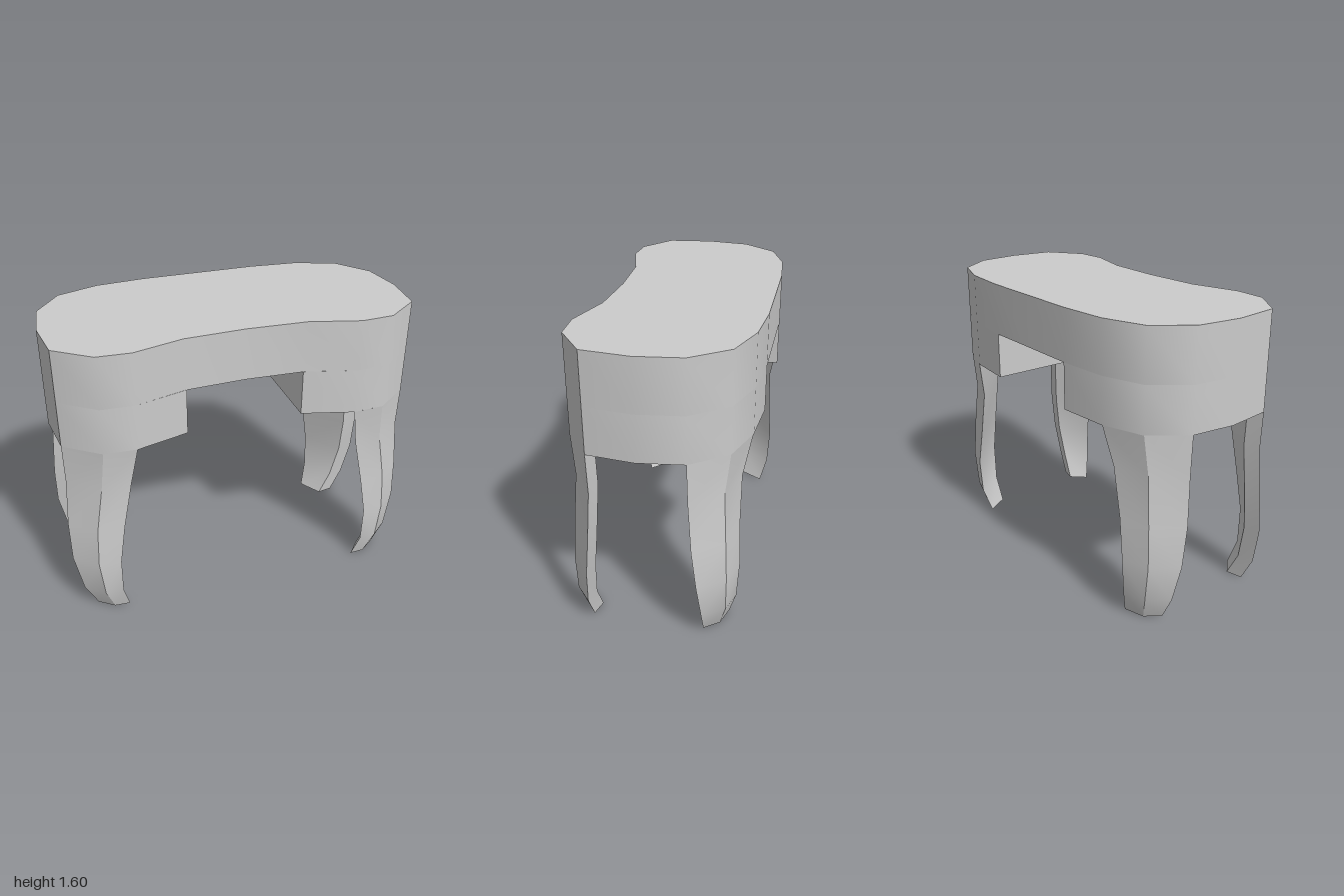
import * as THREE from 'three';
import { toCreasedNormals } from 'three/addons/utils/BufferGeometryUtils.js';

const CREASE = 0.66;
const LEVELS = [1.06, 0.84, 0.57, 0.35, 0.14, 0];

// half outline of the kidney-shaped seat, front centre to back centre (x, z)
const HALF = [[0, 0.375], [0.33, 0.39], [0.6, 0.465], [0.78, 0.455], [0.97, 0.315],
  [1, 0.06], [0.97, -0.18], [0.83, -0.37], [0.6, -0.45], [0.33, -0.473], [0, -0.473]];

// leg cross-sections per level: inner edge, outer corner, side edge (x, z each)
const FRONT_LEG = [
  [0.605, 0.465, 0.78, 0.455, 0.97, 0.315],
  [0.645, 0.437, 0.80, 0.43, 0.967, 0.31],
  [0.70, 0.447, 0.845, 0.44, 0.985, 0.325],
  [0.735, 0.46, 0.857, 0.45, 0.983, 0.345],
  [0.735, 0.455, 0.835, 0.45, 0.94, 0.362],
  [0.70, 0.42, 0.785, 0.415, 0.87, 0.355]];
const BACK_LEG = [
  [0.605, -0.448, 0.83, -0.37, 0.97, -0.18],
  [0.645, -0.405, 0.84, -0.345, 0.967, -0.185],
  [0.70, -0.407, 0.87, -0.36, 0.985, -0.205],
  [0.735, -0.418, 0.885, -0.37, 0.983, -0.23],
  [0.735, -0.405, 0.86, -0.365, 0.94, -0.25],
  [0.70, -0.365, 0.81, -0.33, 0.87, -0.25]];

// upright prism from an (x, z) outline
function prism(points, y0, y1) {
  const shape = new THREE.Shape(points.map(([x, z]) => new THREE.Vector2(x, -z)));
  const geo = new THREE.ExtrudeGeometry(shape, { depth: y1 - y0, bevelEnabled: false });
  geo.rotateX(-Math.PI / 2).translate(0, y0, 0);
  return toCreasedNormals(geo, CREASE);
}

// curved leg lofted through four-cornered sections
function legGeometry(sections, side) {
  const back = sections[0][1] < 0;
  const pos = [], index = [];
  sections.forEach(([ax, az, bx, bz, cx, cz], i) => {
    const y = LEVELS[i];
    const dx = cx - 0.09, dz = cz + (back ? 0.015 : -0.022);
    pos.push(side * ax, y, az, side * bx, y, bz, side * cx, y, cz, side * dx, y, dz);
  });
  const flip = back !== (side < 0);
  const tri = (a, b, c) => index.push(...(flip ? [a, c, b] : [a, b, c]));
  const last = (sections.length - 1) * 4;
  for (let r = 0; r < last; r += 4) {
    for (let k = 0; k < 4; k++) {
      const n = (k + 1) % 4;
      tri(r + k, r + 4 + k, r + 4 + n);
      tri(r + k, r + 4 + n, r + n);
    }
  }
  // foot
  tri(last, last + 1, last + 2);
  tri(last, last + 2, last + 3);
  const geo = new THREE.BufferGeometry();
  geo.setAttribute('position', new THREE.Float32BufferAttribute(pos, 3));
  geo.setIndex(index);
  return toCreasedNormals(geo, 0.5);
}

export function createModel() {
  const group = new THREE.Group();
  const material = new THREE.MeshStandardMaterial({ color: 0xcccccc });
  const add = (name, geo) => {
    const mesh = new THREE.Mesh(geo, material);
    mesh.name = name;
    group.add(mesh);
  };

  // seat slab
  const mirrored = HALF.slice(1, -1).reverse().map(([x, z]) => [-x, z]);
  add('seat', prism([...HALF, ...mirrored], 1.315, 1.6));

  // end blocks under the seat, flush with its outline
  const end = HALF.slice(2, -2);
  for (const side of [1, -1]) {
    const label = side > 0 ? 'left' : 'right';
    const outline = [[0.32, 0.389], ...end, [0.32, -0.473]].map(([x, z]) => [side * x, z]);
    add(label + 'EndBlock', prism(outline, 1.06, 1.315));
    add(label + 'FrontLeg', legGeometry(FRONT_LEG, side));
    add(label + 'BackLeg', legGeometry(BACK_LEG, side));
  }
  return group;
}
